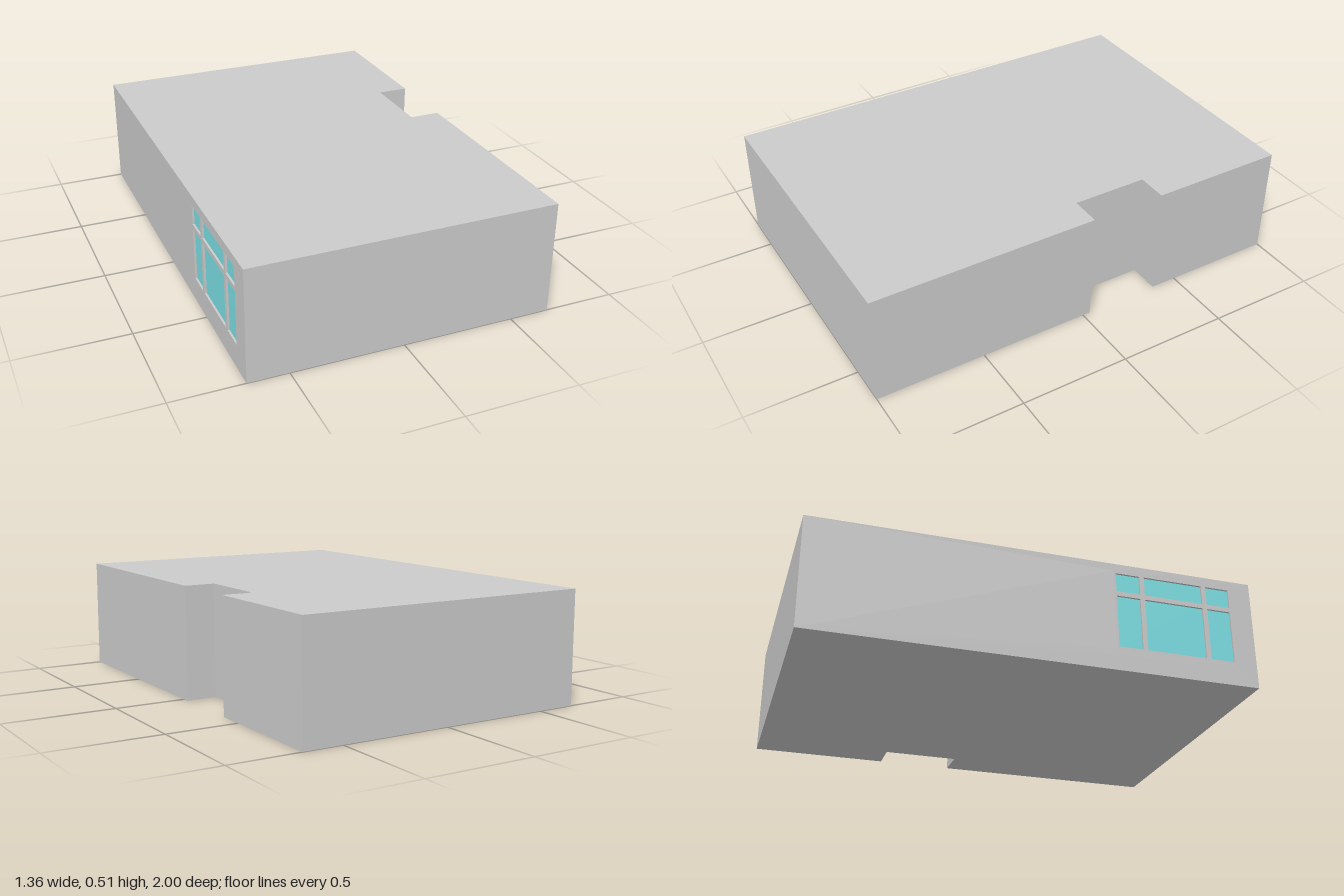
import * as THREE from 'three';

const H = 0.51;
// Footprint corners as [x, z], walked so that walls face outward
const FOOTPRINT = [
  [-0.68, 1], [0.68, 1], [0.68, -0.035], [0.54, -0.035],
  [0.54, -0.38], [0.68, -0.38], [0.68, -1], [-0.68, -1],
];
// Window opening: z range, y range, and pane grid lines
const WIN = { z0: 0.345, z1: 0.905, y0: 0.1, y1: 0.475 };
const COLS = [WIN.z0, 0.477, 0.773, WIN.z1];
const ROWS = [WIN.y0, 0.365, WIN.y1];
const BAR = 0.011;

function rect(Type, x0, y0, x1, y1) {
  return new Type([[x0, y0], [x1, y0], [x1, y1], [x0, y1]].map(p => new THREE.Vector2(...p)));
}

export function createModel() {
  const model = new THREE.Group();
  model.name = 'building';
  const grey = new THREE.MeshStandardMaterial({ color: 0xcccccc });
  const glassMat = new THREE.MeshStandardMaterial({ color: 0x7be0e4 });

  function add(parent, name, geometry, material = grey) {
    const mesh = new THREE.Mesh(geometry, material);
    mesh.name = name;
    parent.add(mesh);
    return mesh;
  }

  // Roof and floor
  const plan = sign => new THREE.ShapeGeometry(
    new THREE.Shape(FOOTPRINT.map(([x, z]) => new THREE.Vector2(x, sign * z))));
  add(model, 'roof', plan(-1).rotateX(-Math.PI / 2).translate(0, H, 0));
  add(model, 'floor', plan(1).rotateX(Math.PI / 2));

  // One wall per footprint edge; the last one has the window opening
  FOOTPRINT.forEach(([x, z], i) => {
    const [x2, z2] = FOOTPRINT[(i + 1) % FOOTPRINT.length];
    const half = Math.hypot(x2 - x, z2 - z) / 2;
    const panel = rect(THREE.Shape, -half, 0, half, H);
    const hasWindow = i === FOOTPRINT.length - 1;
    if (hasWindow) panel.holes.push(rect(THREE.Path, WIN.z0, WIN.y0, WIN.z1, WIN.y1));
    const wall = add(model, hasWindow ? 'windowWall' : 'wall', new THREE.ShapeGeometry(panel));
    wall.position.set((x + x2) / 2, 0, (z + z2) / 2);
    wall.rotation.y = Math.atan2(z - z2, x2 - x);
  });

  // Window: frame flush with the wall, glass set back behind it
  const windowGroup = new THREE.Group();
  windowGroup.name = 'window';
  windowGroup.position.x = -0.68;
  windowGroup.rotation.y = -Math.PI / 2;
  model.add(windowGroup);

  const frame = rect(THREE.Shape, WIN.z0, WIN.y0, WIN.z1, WIN.y1);
  for (let c = 0; c < 3; c++) {
    for (let r = 0; r < 2; r++) {
      frame.holes.push(rect(THREE.Path,
        COLS[c] + BAR, ROWS[r] + BAR, COLS[c + 1] - BAR, ROWS[r + 1] - BAR));
    }
  }
  add(windowGroup, 'windowFrame',
    new THREE.ExtrudeGeometry(frame, { depth: 0.03, bevelEnabled: false })).position.z = -0.03;

  const glass = add(windowGroup, 'windowGlass',
    new THREE.BoxGeometry(WIN.z1 - WIN.z0 - BAR, WIN.y1 - WIN.y0 - BAR, 0.006), glassMat);
  glass.position.set((WIN.z0 + WIN.z1) / 2, (WIN.y0 + WIN.y1) / 2, -0.012);

  return model;
}
